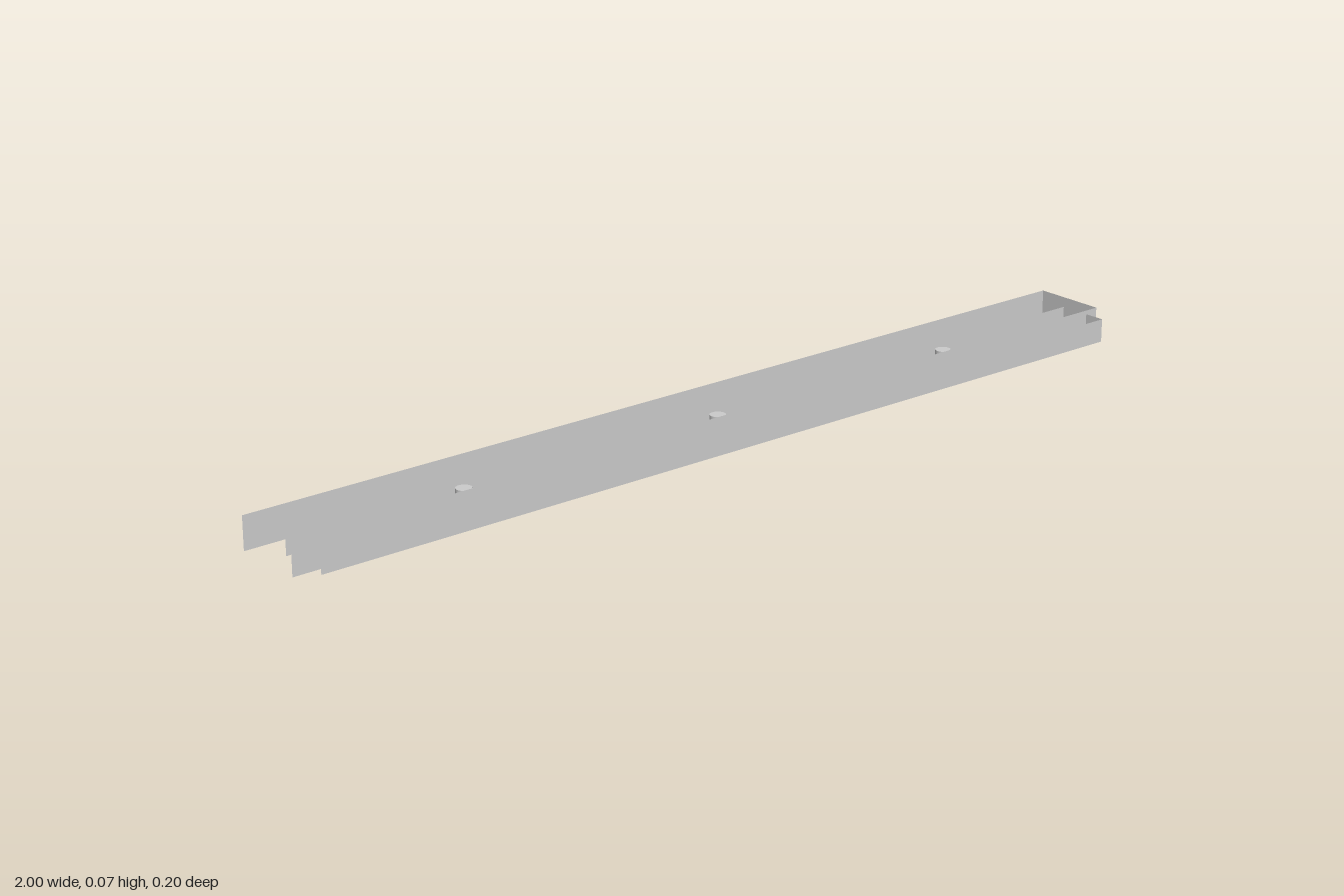
import * as THREE from 'three';

export function createModel() {
  const model = new THREE.Group();
  const material = new THREE.MeshStandardMaterial({ color: 0xcccccc, side: THREE.DoubleSide });

  // Thin upright sheet, facing +z or turned to face +x
  function sheet(name, width, height, x, y, z, facesX = false) {
    const mesh = new THREE.Mesh(new THREE.PlaneGeometry(width, height), material);
    mesh.name = name;
    mesh.position.set(x, y, z);
    if (facesX) mesh.rotation.y = Math.PI / 2;
    return mesh;
  }

  // Open sleeve: front, back and one closed end; no top, bottom or other end
  function sleeve(name, halfLength, y0, y1, zBack, zFront) {
    const group = new THREE.Group();
    group.name = name;
    const height = y1 - y0, y = (y0 + y1) / 2;
    group.add(
      sheet(name + 'Front', halfLength * 2, height, 0, y, zFront),
      sheet(name + 'Back', halfLength * 2, height, 0, y, zBack),
      sheet(name + 'End', zFront - zBack, height, halfLength, y, (zBack + zFront) / 2, true)
    );
    return group;
  }

  model.add(sleeve('outerRail', 1, 0, 0.068, -0.1, 0.055));
  model.add(sleeve('innerRail', 0.97, 0.011, 0.06, -0.01, 0.1));

  // Upright pins against the back of the inner rail
  const pinGeometry = new THREE.CylinderGeometry(0.016, 0.016, 0.04, 24);
  for (const x of [-0.6, 0, 0.6]) {
    const pin = new THREE.Mesh(pinGeometry, material);
    pin.name = 'pin';
    pin.position.set(x, 0.031, 0.007);
    model.add(pin);
  }

  return model;
}
